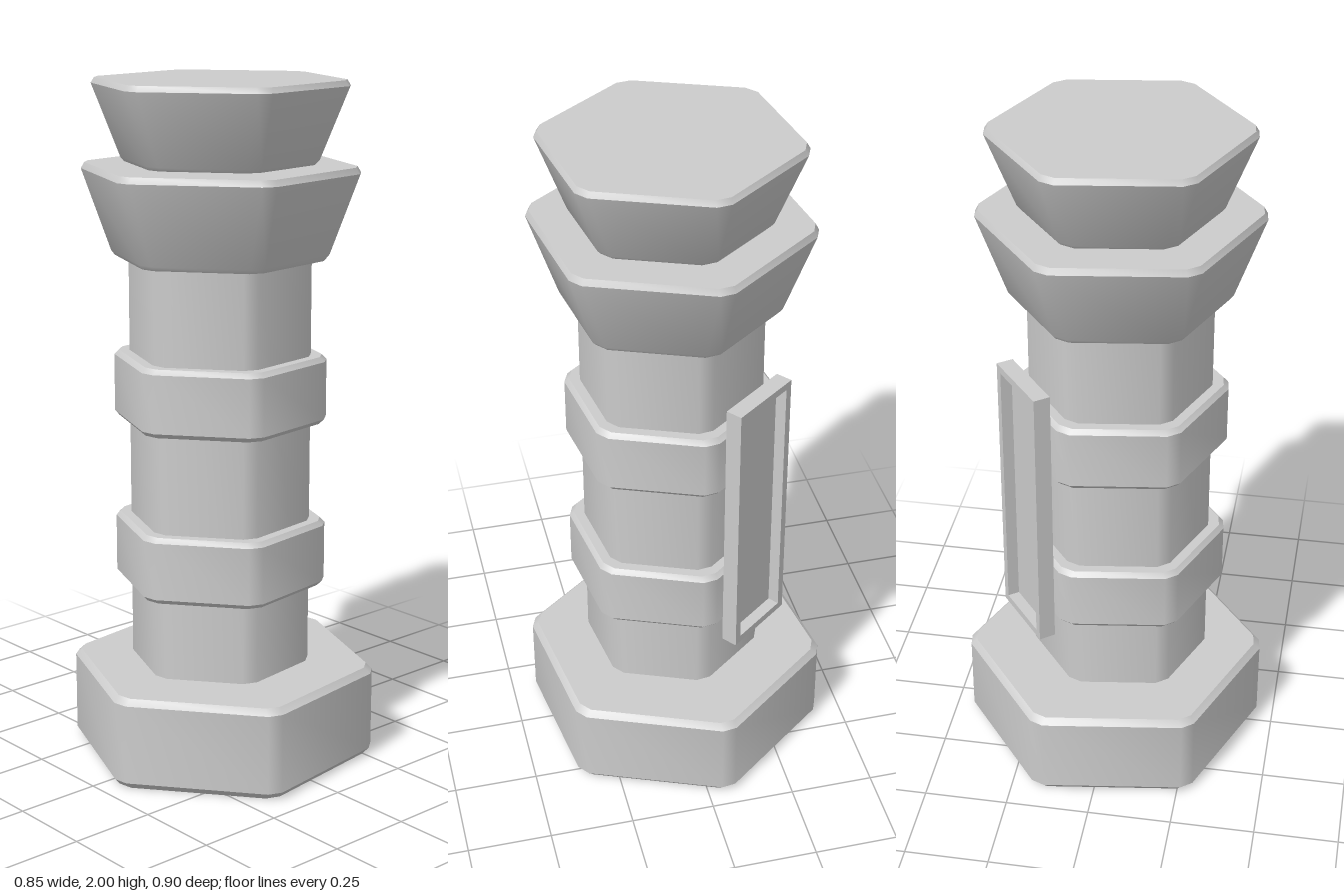
import * as THREE from 'three';
import { toCreasedNormals } from 'three/addons/utils/BufferGeometryUtils.js';

const TURN = THREE.MathUtils.degToRad(22);
const CUT = 0.025;
const material = new THREE.MeshStandardMaterial({ color: 0xcccccc, side: THREE.DoubleSide });

// Hexagon with small cut corners; r is the radius at the middle of a cut
function hexRing(r, y) {
  const corner = i => {
    const a = TURN + (i * Math.PI) / 3;
    return new THREE.Vector3(Math.cos(a), 0, Math.sin(a)).multiplyScalar(r + CUT / 2);
  };
  const ring = [];
  for (let i = 0; i < 6; i++) {
    const c = corner(i);
    for (const n of [corner(i - 1), corner(i + 1)]) {
      const p = r > 0 ? c.clone().add(n.sub(c).setLength(CUT)) : new THREE.Vector3();
      p.y = y;
      ring.push(p);
    }
  }
  return ring;
}

// Skin a [radius, height] profile, listed from bottom to top
function hexLoft(name, profile) {
  const rings = profile.map(([r, y]) => hexRing(r, y));
  const pts = [];
  for (let j = 0; j + 1 < rings.length; j++) {
    const lo = rings[j], hi = rings[j + 1];
    for (let i = 0; i < 12; i++) {
      const k = (i + 1) % 12;
      if (profile[j + 1][0] > 0) pts.push(lo[i], hi[i], hi[k]);
      if (profile[j][0] > 0) pts.push(lo[i], hi[k], lo[k]);
    }
  }
  const geometry = toCreasedNormals(new THREE.BufferGeometry().setFromPoints(pts), 0.6);
  const mesh = new THREE.Mesh(geometry, material);
  mesh.name = name;
  return mesh;
}

// Shallow framed panel with a recessed floor, facing +z
function sidePanel() {
  const panel = new THREE.Group();
  panel.name = 'sidePanel';
  const w = 0.234, h = 0.83, depth = 0.05, rim = 0.022;
  const rect = (Kind, x, y) => new Kind([[-x, -y], [x, -y], [x, y], [-x, y]].map(p => new THREE.Vector2(...p)));
  const shape = rect(THREE.Shape, w / 2, h / 2);
  shape.holes.push(rect(THREE.Path, w / 2 - rim, h / 2 - rim));
  const frame = new THREE.Mesh(new THREE.ExtrudeGeometry(shape, { depth, bevelEnabled: false }), material);
  frame.name = 'panelFrame';
  const floor = new THREE.Mesh(new THREE.BoxGeometry(w - 2 * rim, h - 2 * rim, 0.015), material);
  floor.name = 'panelFloor';
  floor.position.z = 0.0075;
  panel.add(frame, floor);
  return panel;
}

export function createModel() {
  const model = new THREE.Group();
  model.name = 'hexagonalTower';

  // Hollow foot, open underneath
  model.add(hexLoft('foot', [[0.432, 0], [0.451, 0.02], [0.451, 0.257], [0.432, 0.275], [0, 0.275]]));

  // Everything above the foot sits slightly off its centre
  const upper = new THREE.Group();
  upper.name = 'upperBody';
  upper.position.set(0.005, 0, 0.015);
  model.add(upper);

  upper.add(hexLoft('column', [[0, 0.29], [0.263, 0.29], [0.263, 1.52]]));

  // Two raised bands
  for (const y of [0.53, 1.02]) {
    upper.add(hexLoft('band', [
      [0.25, y], [0.295, y], [0.309, y + 0.014],
      [0.309, y + 0.183], [0.295, y + 0.197], [0.25, y + 0.197],
    ]));
  }

  // Flared collar and head, open underneath
  upper.add(hexLoft('collar', [[0.303, 1.495], [0.314, 1.508], [0.4, 1.742], [0.39, 1.76], [0, 1.76]]));
  upper.add(hexLoft('head', [[0.273, 1.765], [0.283, 1.776], [0.367, 1.984], [0.357, 2], [0, 2]]));

  // Panel on the rear face
  const a = TURN + (7 * Math.PI) / 6;
  const panel = sidePanel();
  panel.position.set(Math.cos(a) * 0.286, 0.89, Math.sin(a) * 0.286);
  panel.rotation.y = Math.PI / 2 - a;
  upper.add(panel);

  return model;
}
